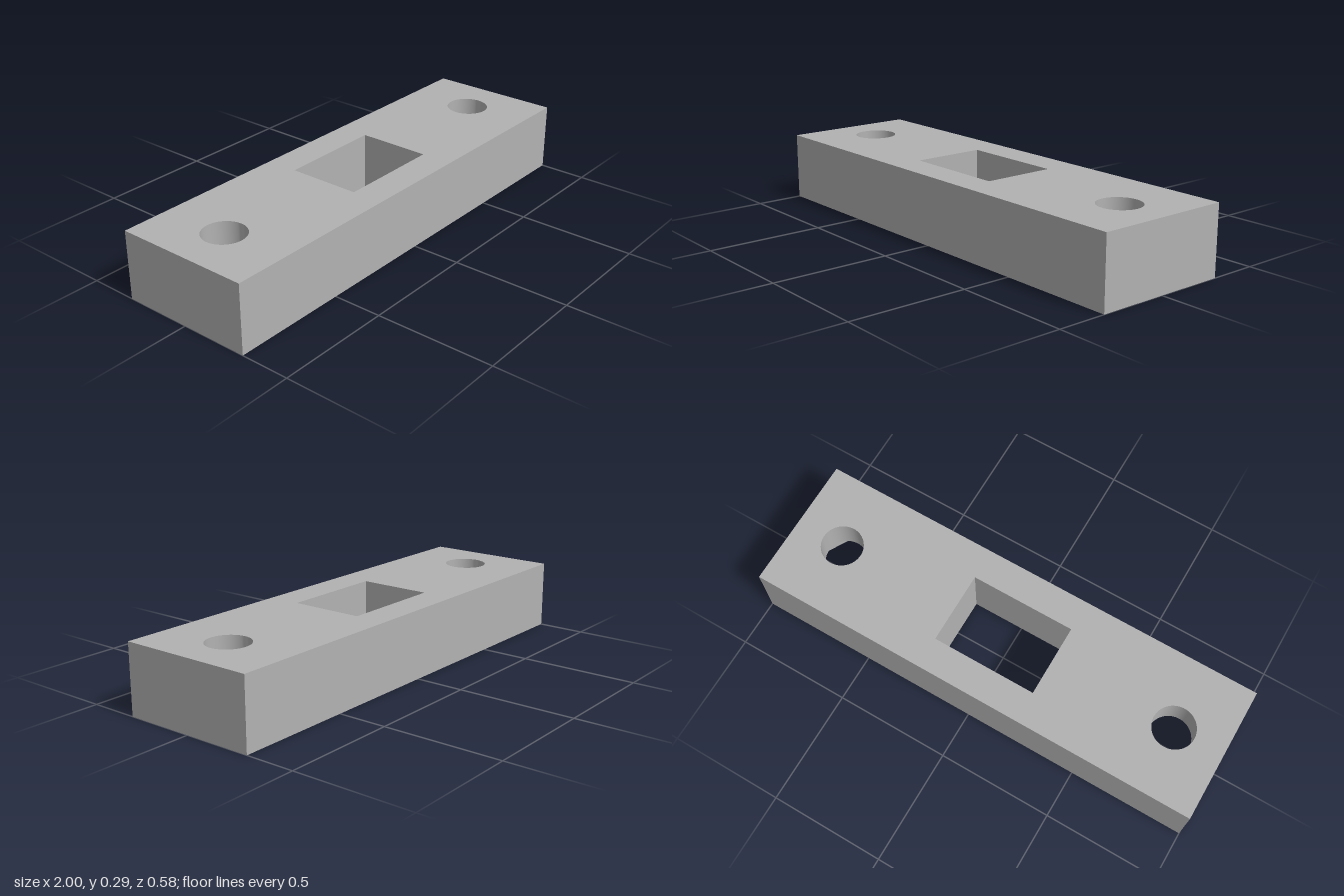
import * as THREE from 'three';
import { toCreasedNormals } from 'three/addons/utils/BufferGeometryUtils.js';

const HEIGHT = 0.293, POCKET = 0.15, HOLE_X = 0.78;

// Counter-clockwise outlines
const rect = (w, d) => [[-w, -d], [w, -d], [w, d], [-w, d]].map(([x, y]) => new THREE.Vector2(x, y));
const polygon = (n, r, cx) => Array.from({ length: n }, (_, i) => {
  const a = (i / n) * Math.PI * 2;
  return new THREE.Vector2(cx + r * Math.cos(a), r * Math.sin(a));
});

// Flat horizontal face with holes, facing up (1) or down (-1)
function flatFace(outline, holes, y, facing) {
  const shape = new THREE.Shape(outline);
  shape.holes = holes.map((h) => new THREE.Path(h));
  return new THREE.ShapeGeometry(shape).rotateX(-facing * Math.PI / 2).translate(0, y, 0);
}

// Vertical wall along a closed outline; inward walls line a hole
function wall(outline, y0, y1, inward) {
  const pts = inward ? [...outline].reverse() : outline;
  const pos = [];
  pts.forEach((a, i) => {
    const b = pts[(i + 1) % pts.length];
    pos.push(a.x, y0, -a.y, b.x, y0, -b.y, b.x, y1, -b.y);
    pos.push(a.x, y0, -a.y, b.x, y1, -b.y, a.x, y1, -a.y);
  });
  const g = new THREE.BufferGeometry();
  g.setAttribute('position', new THREE.Float32BufferAttribute(pos, 3));
  return toCreasedNormals(g, 0.6);
}

export function createModel() {
  const group = new THREE.Group();
  group.name = 'mountingBlock';
  const grey = new THREE.MeshStandardMaterial({ color: 0xb2b2b2 });
  grey.name = 'grey';
  const add = (name, geometry) => {
    const mesh = new THREE.Mesh(geometry, grey);
    mesh.name = name;
    group.add(mesh);
  };

  const block = rect(1, 0.2925);
  const slot = rect(0.228, 0.157);
  const bores = [-HOLE_X, HOLE_X].map((x) => polygon(64, 0.09, x));
  const hexes = [-HOLE_X, HOLE_X].map((x) => polygon(6, 0.173, x));

  // Block shell and central slot
  add('topFace', flatFace(block, [slot, ...bores], HEIGHT, 1));
  add('bottomFace', flatFace(block, [slot, ...hexes], 0, -1));
  add('outerWalls', wall(block, 0, HEIGHT, false));
  add('slotWalls', wall(slot, 0, HEIGHT, true));

  // Bolt bores opening into hexagonal nut pockets underneath
  ['right', 'left'].forEach((side, i) => {
    add(side + 'Bore', wall(bores[i], POCKET, HEIGHT, true));
    add(side + 'NutPocket', wall(hexes[i], 0, POCKET, true));
    add(side + 'PocketCeiling', flatFace(hexes[i], [bores[i]], POCKET, -1));
  });
  return group;
}
